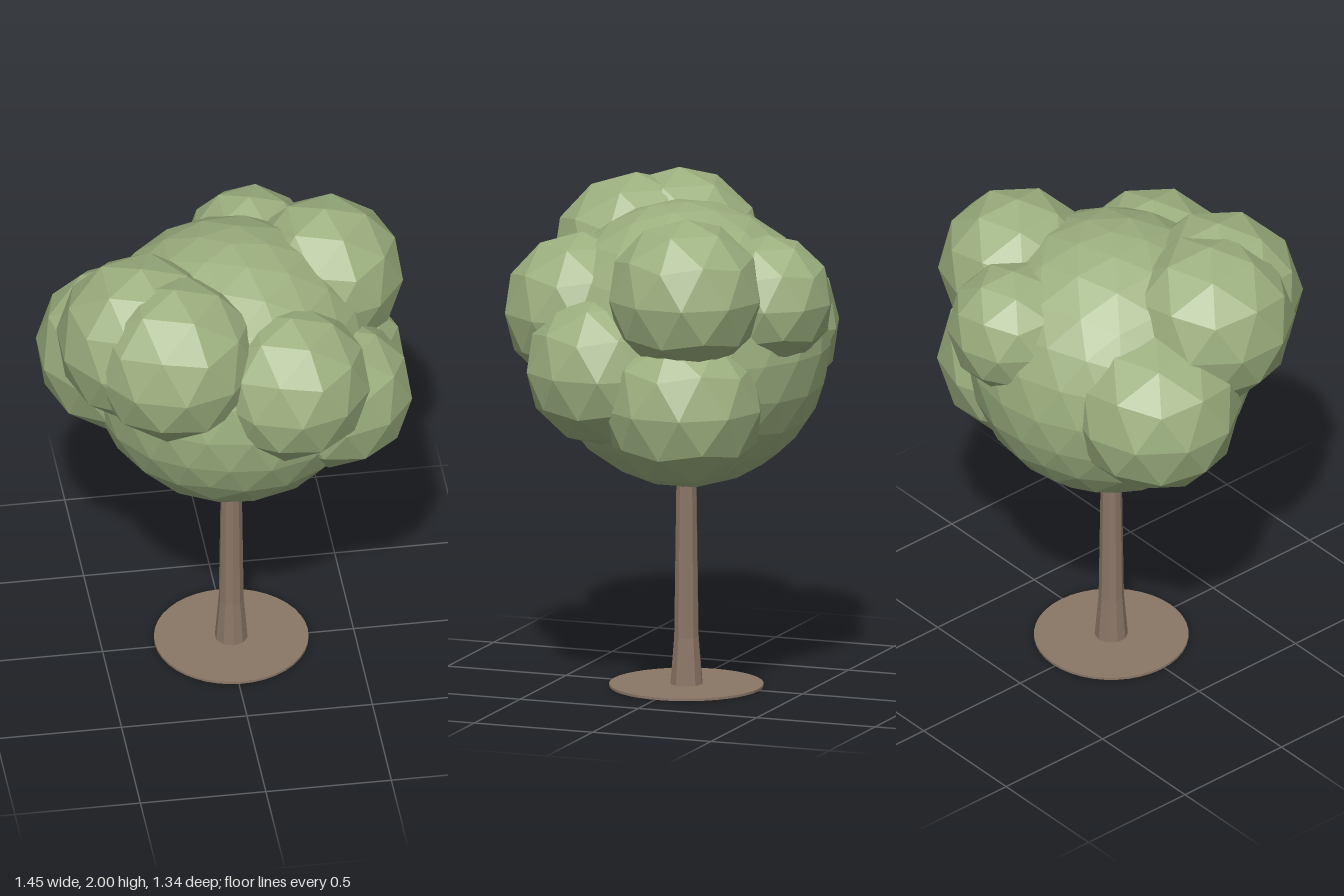
import * as THREE from 'three';

const leafMaterial = new THREE.MeshStandardMaterial({ color: 0x9cb07f, flatShading: true });
leafMaterial.name = 'leaf green';
const barkMaterial = new THREE.MeshStandardMaterial({ color: 0x8a7666, flatShading: true });
barkMaterial.name = 'bark brown';

// Faceted ball standing on one of its corners
function leafBall(name, x, y, z, radius, detail) {
  const geometry = new THREE.IcosahedronGeometry(radius, detail);
  geometry.rotateZ(-Math.atan(2 / (1 + Math.sqrt(5))));
  const mesh = new THREE.Mesh(geometry, leafMaterial);
  mesh.name = name;
  mesh.position.set(x, y, z);
  return mesh;
}

export function createModel() {
  const tree = new THREE.Group();
  tree.name = 'tree';
  const axisX = 0.015, axisZ = -0.015;

  // Flat round patch of soil
  const soil = new THREE.Mesh(new THREE.CylinderGeometry(0.305, 0.305, 0.01, 40), barkMaterial);
  soil.name = 'soilDisc';
  soil.position.set(axisX, 0.005, axisZ);
  tree.add(soil);

  // Trunk flaring at the foot
  const profile = [[0, 0.005], [0.066, 0.005], [0.05, 0.2], [0.04, 0.9], [0, 0.9]];
  const trunk = new THREE.Mesh(
    new THREE.LatheGeometry(profile.map(([r, y]) => new THREE.Vector2(r, y)), 10),
    barkMaterial
  );
  trunk.name = 'trunk';
  trunk.position.set(axisX, 0, axisZ);
  tree.add(trunk);

  // Crown: one large ball with smaller clumps around it
  const crown = new THREE.Group();
  crown.name = 'crown';
  crown.add(leafBall('crownCore', axisX, 1.378, axisZ, 0.57, 3));
  const clumps = [
    ['frontRightUpperClump', -0.26, 1.655, 0.305, 0.335],
    ['rightUpperClump', -0.37, 1.66, 0.165, 0.34],
    ['frontLeftClump', 0.198, 1.52, 0.355, 0.315],
    ['leftUpperClump', 0.41, 1.65, -0.165, 0.313],
    ['leftLowerClump', 0.41, 1.21, -0.155, 0.325],
    ['leftFrontClump', 0.4, 1.333, 0.195, 0.305],
    ['rightBackClump', -0.405, 1.39, -0.145, 0.34],
    ['backUpperClump', 0.147, 1.605, -0.41, 0.263],
  ];
  for (const [name, x, y, z, r] of clumps) crown.add(leafBall(name, x, y, z, r, 1));
  tree.add(crown);

  return tree;
}
